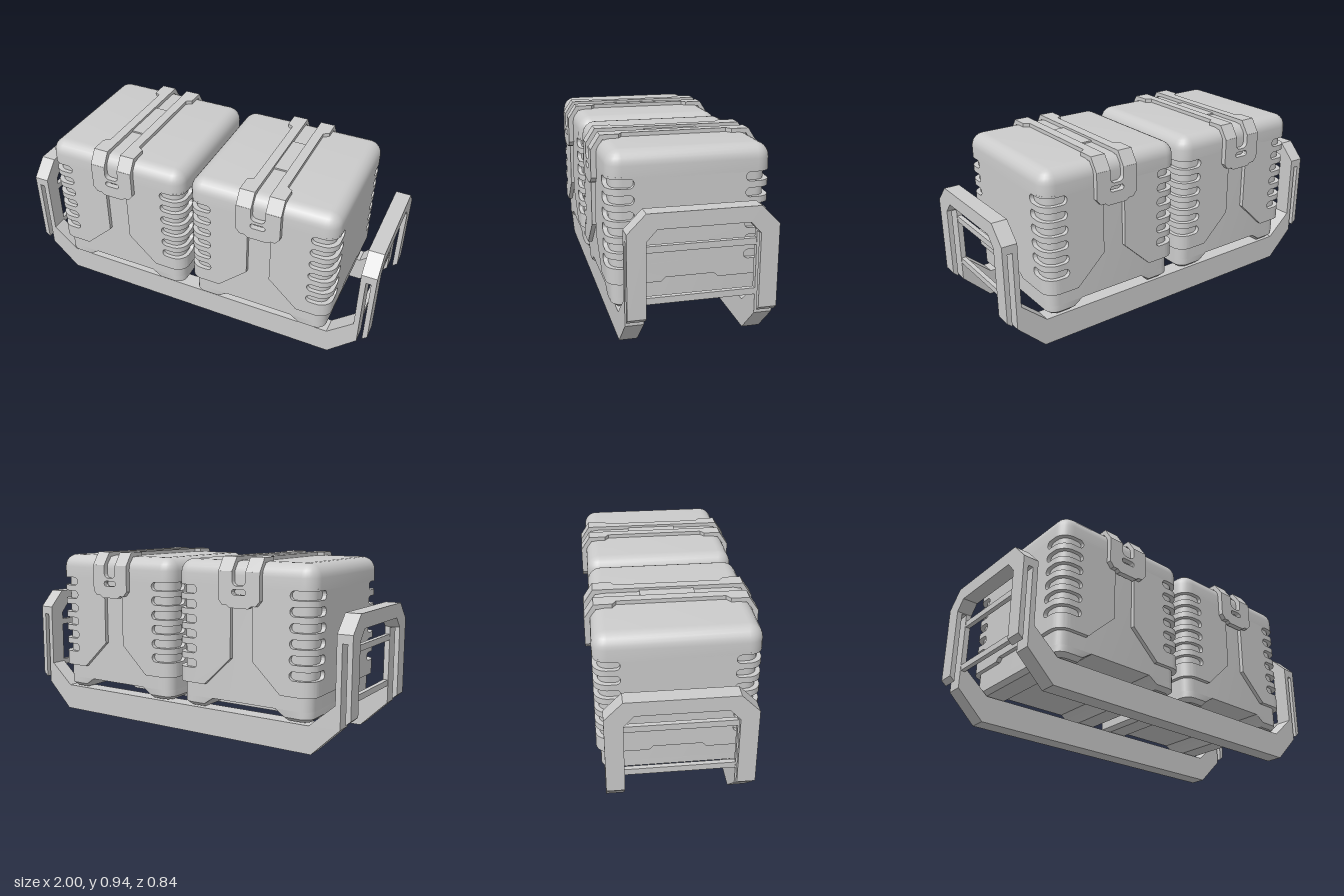
import * as THREE from 'three';
import { toCreasedNormals } from 'three/addons/utils/BufferGeometryUtils.js';

const material = new THREE.MeshStandardMaterial({ color: 0xcccccc });
const GROOVES = [0.36, 0.437, 0.514, 0.591, 0.668, 0.745]; // lower edges
const GH = 0.045;          // groove height
const EDGE = 0.29;         // where face panels meet the corner ribs
const OUT = 0.395, IN = 0.373; // shell and core half widths

function add(parent, name, geometry) {
  const mesh = new THREE.Mesh(toCreasedNormals(geometry, 0.6), material);
  mesh.name = name;
  parent.add(mesh);
  return mesh;
}
const poly = pts => new THREE.Shape(pts.map(p => new THREE.Vector2(p[0], p[1])));
const extrude = (shape, depth) =>
  new THREE.ExtrudeGeometry(shape, { depth, bevelEnabled: false, curveSegments: 8 });
// (x, y) outline from z0 to z1
const alongZ = (s, z0, z1) => extrude(s, z1 - z0).translate(0, 0, z0);
// (x, z) outline from y0 to y1
const alongY = (s, y0, y1) => extrude(s, y1 - y0).rotateX(Math.PI / 2).translate(0, y1, 0);
// (z, y) outline from x0 to x1
const alongX = (s, x0, x1) => extrude(s, x1 - x0).rotateY(-Math.PI / 2).translate(x1, 0, 0);
const box = (w, h, d, x, y, z) => new THREE.BoxGeometry(w, h, d).translate(x, y, z);

// Closed loft through rounded rectangles { y, x0, x1, z, r, ri }, bottom to top
function loft(levels) {
  const SEG = 6, pos = [], idx = [];
  const n = 4 * (SEG + 1);
  for (const { y, x0, x1, z, r, ri = r } of levels) {
    for (let c = 0; c < 4; c++) {
      const right = c === 0 || c === 3, rad = right ? r : ri;
      const cx = right ? x1 - rad : x0 + rad, cz = c < 2 ? z - rad : -z + rad;
      for (let i = 0; i <= SEG; i++) {
        const a = (c + i / SEG) * Math.PI / 2;
        pos.push(cx + rad * Math.cos(a), y, cz + rad * Math.sin(a));
      }
    }
  }
  for (let l = 0; l < levels.length - 1; l++)
    for (let i = 0; i < n; i++) {
      const a = l * n + i, b = l * n + (i + 1) % n;
      idx.push(a, a + n, b, b, a + n, b + n);
    }
  const top = (levels.length - 1) * n;
  for (let i = 1; i < n - 1; i++) {
    idx.push(0, i, i + 1);
    idx.push(top, top + i + 1, top + i);
  }
  const g = new THREE.BufferGeometry();
  g.setAttribute('position', new THREE.Float32BufferAttribute(pos, 3));
  g.setIndex(idx);
  return g;
}
const square = (y, h, r) => ({ y, x0: -h, x1: h, z: h, r });

// Panel edge going up (or down) the side, scalloped by the round groove ends
function scallopedEdge(shape, side, up) {
  const list = up ? GROOVES : [...GROOVES].reverse();
  for (const y of list) {
    shape.lineTo(side * EDGE, up ? y : y + GH);
    const from = up ? -Math.PI / 2 : Math.PI / 2;
    shape.absarc(side * EDGE, y + GH / 2, GH / 2, from, -from, up === side > 0);
  }
  shape.lineTo(side * EDGE, up ? 0.8 : 0.28);
}

function frontPanel(side) {
  const s = new THREE.Shape();
  s.moveTo(side * 0.22, 0.28);
  s.lineTo(side * EDGE, 0.28);
  scallopedEdge(s, side, true);
  s.lineTo(side * 0.063, 0.8);
  s.lineTo(side * 0.063, 0.43);
  return s;
}

function sidePanel() {
  const s = new THREE.Shape();
  s.moveTo(-EDGE, 0.28);
  for (const [z, y] of [[-0.14, 0.28], [-0.12, 0.3], [0.12, 0.3], [0.14, 0.28], [EDGE, 0.28]]) s.lineTo(z, y);
  scallopedEdge(s, 1, true);
  s.lineTo(-EDGE, 0.8);
  scallopedEdge(s, -1, false);
  return s;
}

function cornerRib() {
  const s = new THREE.Shape();
  s.moveTo(EDGE, 0.345);
  s.lineTo(EDGE, OUT);
  s.lineTo(0.325, OUT);
  s.absarc(0.325, 0.325, 0.07, Math.PI / 2, 0, true);
  s.lineTo(OUT, EDGE);
  s.lineTo(0.345, EDGE);
  return s;
}

// Clasp plate with a U notch and a slot
function claspPlate() {
  const s = poly([[-0.054, 0.69], [0.054, 0.69], [0.07, 0.703], [0.095, 0.703], [0.118, 0.73], [0.118, 0.87], [0.038, 0.87]]);
  s.lineTo(0.038, 0.825);
  s.absarc(0.013, 0.825, 0.025, 0, -Math.PI / 2, true);
  s.absarc(-0.013, 0.825, 0.025, -Math.PI / 2, -Math.PI, true);
  for (const p of [[-0.038, 0.87], [-0.118, 0.87], [-0.118, 0.73], [-0.095, 0.703], [-0.07, 0.703]]) s.lineTo(...p);
  const slot = new THREE.Path();
  slot.absarc(0.026, 0.769, 0.014, -Math.PI / 2, Math.PI / 2, false);
  slot.absarc(-0.026, 0.769, 0.014, Math.PI / 2, Math.PI * 1.5, false);
  s.holes.push(slot);
  return s;
}

function createCase() {
  const g = new THREE.Group();
  add(g, 'core', loft([square(0.205, IN, 0.055), square(0.81, IN, 0.055)]));

  // Lid with rounded top edges
  const lid = [square(0.79, OUT, 0.07)];
  for (let i = 0; i <= 6; i++) {
    const a = i / 6 * Math.PI / 2, inset = 0.07 * (1 - Math.cos(a));
    lid.push(square(0.85 + 0.07 * Math.sin(a), OUT - inset, Math.max(0.07 - inset, 0.004)));
  }
  add(g, 'lid', loft(lid));

  // Tapered runners under the case
  for (const turn of [0, Math.PI]) {
    add(g, 'runner', loft([
      { y: 0.15, x0: 0.245, x1: 0.35, z: 0.35, r: 0.04, ri: 0.004 },
      { y: 0.17, x0: 0.232, x1: IN, z: IN, r: 0.055, ri: 0.004 },
      { y: 0.206, x0: 0.18, x1: IN, z: IN, r: 0.055, ri: 0.004 },
    ])).rotation.y = turn;
  }

  // Raised shell: face panels and corner ribs
  for (const turn of [0, Math.PI]) {
    for (const side of [-1, 1]) add(g, 'facePanel', alongZ(frontPanel(side), 0.36, OUT)).rotation.y = turn;
    add(g, 'sidePanel', alongX(sidePanel(), 0.36, OUT)).rotation.y = turn;
  }
  const starts = [0.28, ...GROOVES.map(y => y + GH)], ends = [...GROOVES, 0.8];
  for (let k = 0; k < 4; k++)
    starts.forEach((y, i) => {
      add(g, 'cornerRib', alongY(cornerRib(), y, ends[i])).rotation.y = k * Math.PI / 2;
    });

  // Strap over the lid, with a clasp at each end
  const strap = new THREE.Group();
  strap.name = 'strap';
  g.add(strap);
  const bend = [[0.422, 0.868], [0.375, 0.94], [0.355, 0.94], [0.355, 0.916], [0.362, 0.916], [0.396, 0.868]];
  for (const turn of [0, Math.PI]) {
    const end = new THREE.Group();
    end.name = 'strapEnd';
    end.rotation.y = turn;
    strap.add(end);
    add(end, 'clasp', alongZ(claspPlate(), 0.392, 0.422));
    for (const m of [-1, 1]) {
      add(end, 'strapBend', alongX(poly(bend), m > 0 ? 0.038 : -0.118, m > 0 ? 0.118 : -0.038));
      const bar = [[0.038, 0], [0.088, 0], [0.088, 0.265], [0.118, 0.285], [0.118, 0.36], [0.038, 0.36]];
      add(end, 'strapBar', alongY(poly(bar.map(([x, z]) => [m * x, z])), 0.915, 0.94));
    }
  }
  add(strap, 'middleBand', box(0.078, 0.014, 0.27, 0, 0.921, -0.01));
  return g;
}

function createRack() {
  const g = new THREE.Group();
  g.name = 'rack';
  g.position.z = -0.005;

  // Skid rails with turned-up ends that fold over like hairpins
  const half = [[0.8, 0], [0.948, 0.145], [0.948, 0.556], [0.974, 0.556], [0.974, 0.172],
    [1, 0.195], [1, 0.58], [0.92, 0.58], [0.92, 0.26], [0.785, 0.142]];
  const outline = [...half, ...half.map(([x, y]) => [-x, y]).reverse()];
  for (const z of [-0.353, 0.265]) add(g, 'skidRail', alongZ(poly(outline), z, z + 0.088));

  // End arches and crossbars
  const arch = [[0.353, 0.58], [0.353, 0.6], [0.265, 0.69], [-0.265, 0.69], [-0.353, 0.6], [-0.353, 0.58],
    [-0.265, 0.58], [-0.265, 0.56], [-0.215, 0.615], [0.215, 0.615], [0.265, 0.56], [0.265, 0.58]];
  for (const side of [-1, 1]) {
    add(g, 'endArch', alongX(poly(arch), side > 0 ? 0.92 : -1, side > 0 ? 1 : -0.92));
    for (const y of [0.255, 0.503])
      add(g, 'crossbar', box(0.024, 0.032, 0.54, side * 0.934, y, 0));
  }
  return g;
}

export function createModel() {
  const model = new THREE.Group();
  model.name = 'casesOnRack';
  model.add(createRack());
  for (const [name, x] of [['rightCase', -0.427], ['leftCase', 0.4]]) {
    const c = createCase();
    c.name = name;
    c.position.x = x;
    model.add(c);
  }
  return model;
}
